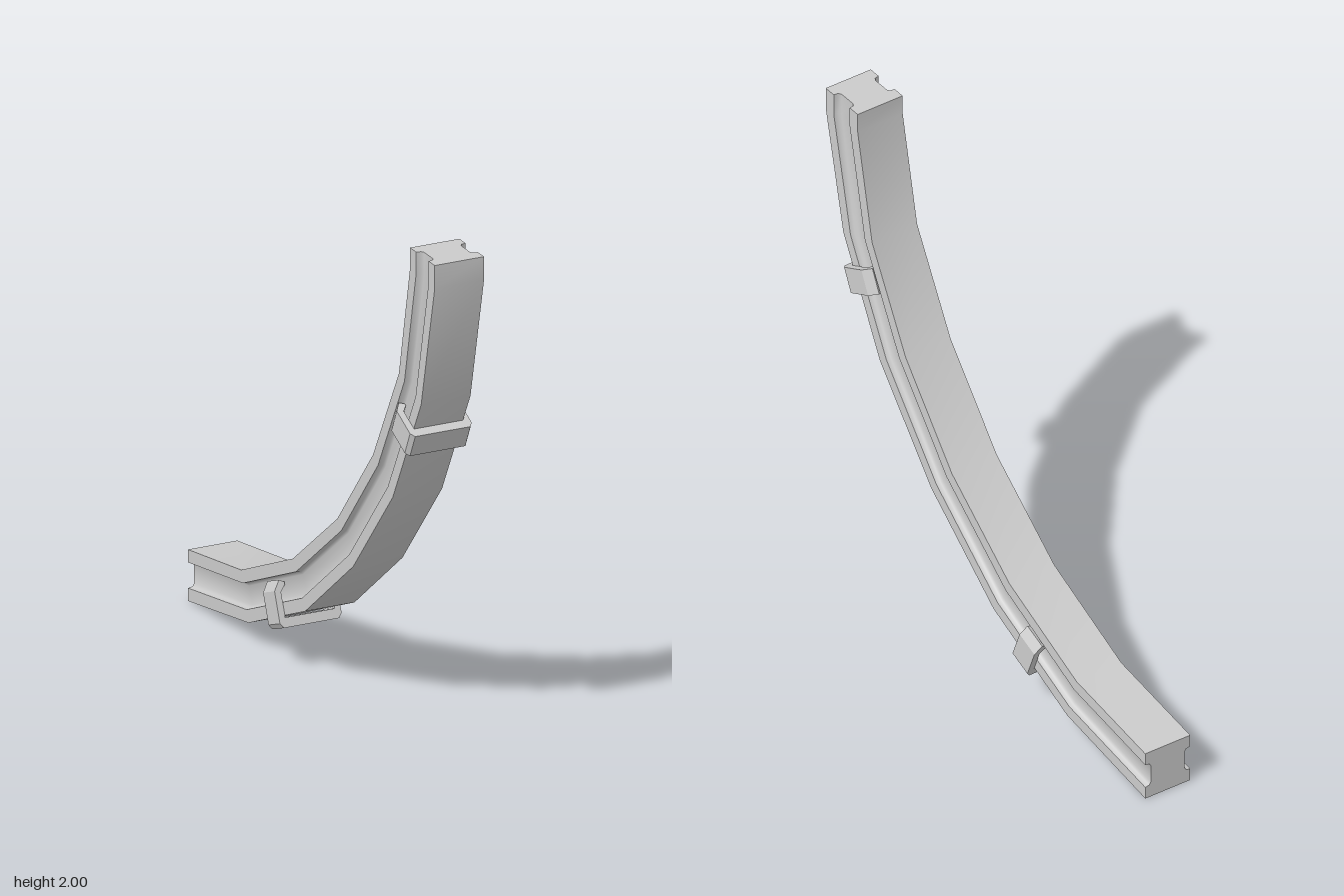
import * as THREE from 'three';
import { toCreasedNormals } from 'three/addons/utils/BufferGeometryUtils.js';

const grey = new THREE.MeshStandardMaterial({ color: 0xcccccc });

// Bend of the rail: [inner z, inner y, outer z, outer y] at each joint
const stations = [
  [0.8, 2, 1, 2],
  [0.8, 1.92, 1, 1.91],
  [0.71, 1.48, 0.89, 1.42],
  [0.5, 1.09, 0.66, 0.98],
  [0.21, 0.74, 0.34, 0.6],
  [-0.15, 0.46, -0.05, 0.29],
  [-0.57, 0.27, -0.51, 0.085],
  [-1, 0.2, -1, 0],
];

// Half profile: x and share of the depth from inner to outer face
const half = [
  [0.1, 0], [0.1, 0.25], [0.082, 0.265], [0.075, 0.32],
  [0.075, 0.68], [0.082, 0.735], [0.1, 0.75], [0.1, 1],
];

function mirrored(points) {
  return [...points, ...points.slice().reverse().map(([x, y]) => [-x, y])];
}

// Rail with a groove along each side, closed at both ends
function railGeometry() {
  const profile = mirrored(half);
  const n = profile.length;
  const positions = [];
  const index = [];
  for (const [zi, yi, zo, yo] of stations) {
    for (const [x, t] of profile) {
      positions.push(x, yi + (yo - yi) * t, zi + (zo - zi) * t);
    }
  }
  for (let k = 0; k < stations.length - 1; k++) {
    for (let i = 0; i < n; i++) {
      const j = (i + 1) % n;
      const a = k * n + i, b = k * n + j;
      index.push(a, b, b + n, a, b + n, a + n);
    }
  }
  const caps = THREE.ShapeUtils.triangulateShape(
    profile.map(([x, t]) => new THREE.Vector2(x, t * 0.2)), []);
  const last = (stations.length - 1) * n;
  for (const [a, b, c] of caps) {
    index.push(a, c, b, last + a, last + b, last + c);
  }
  const geometry = new THREE.BufferGeometry();
  geometry.setAttribute('position', new THREE.Float32BufferAttribute(positions, 3));
  geometry.setIndex(index);
  return toCreasedNormals(geometry, 0.9);
}

// U-shaped clip whose tips hook into the grooves
function clipGeometry() {
  const outline = mirrored([
    [0.112, 0], [0.125, 0.018], [0.125, 0.137], [0.1, 0.175],
    [0.08, 0.165], [0.08, 0.155], [0.1, 0.13], [0.1, 0.037],
  ]);
  const shape = new THREE.Shape(outline.map(([x, y]) => new THREE.Vector2(x, y)));
  const geometry = new THREE.ExtrudeGeometry(shape, { depth: 0.1, bevelEnabled: false });
  geometry.translate(0, 0, -0.05);
  return toCreasedNormals(geometry, 0.5);
}

export function createModel() {
  const model = new THREE.Group();
  model.name = 'curvedRail';

  const rail = new THREE.Mesh(railGeometry(), grey);
  rail.name = 'rail';
  model.add(rail);

  // Clips: centre of the outer face and tilt toward the inside of the bend
  const clip = clipGeometry();
  for (const [name, y, z, tilt] of [
    ['upperClip', 1.245, 0.845, -1.13],
    ['lowerClip', 0.157, -0.244, -0.38],
  ]) {
    const mesh = new THREE.Mesh(clip, grey);
    mesh.name = name;
    mesh.position.set(0, y, z);
    mesh.rotation.x = tilt;
    model.add(mesh);
  }
  return model;
}
